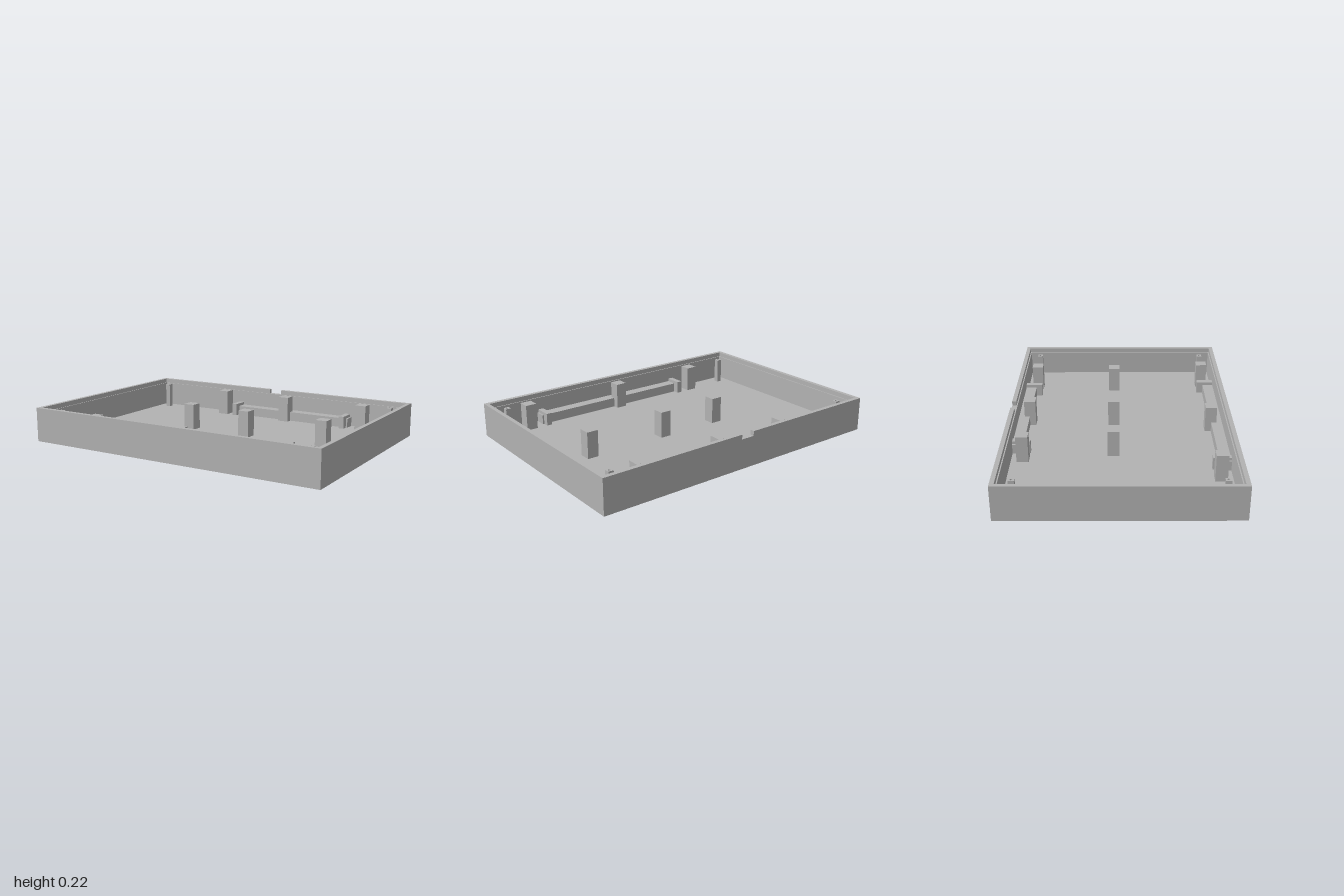
import * as THREE from 'three';

const W = 1, D = 0.703, H = 0.22;        // half width, half depth, height
const FLOOR = 0.026, LEDGE = 0.19, POST_TOP = 0.196;

export function createModel() {
  const root = new THREE.Group();
  root.name = 'openTray';
  const grey = new THREE.MeshStandardMaterial({ color: 0xb2b2b2 });
  grey.name = 'plainGrey';

  const add = (name, geometry, parent = root) => {
    const mesh = new THREE.Mesh(geometry, grey);
    mesh.name = name;
    parent.add(mesh);
    return mesh;
  };

  // box given by its lower and upper limits
  const block = (name, x0, x1, y0, y1, z0, z1, parent) => {
    const mesh = add(name, new THREE.BoxGeometry(x1 - x0, y1 - y0, z1 - z0), parent);
    mesh.position.set((x0 + x1) / 2, (y0 + y1) / 2, (z0 + z1) / 2);
    return mesh;
  };

  // plan outline (shape y = -z) raised from y0 to y1
  const raise = (shape, y0, y1) =>
    new THREE.ExtrudeGeometry(shape, { depth: y1 - y0, bevelEnabled: false, curveSegments: 4 })
      .rotateX(-Math.PI / 2).translate(0, y0, 0);
  const outline = (points) => new THREE.Shape(points.map(([x, y]) => new THREE.Vector2(x, y)));
  const rectangle = (a, b) => outline([[-a, -b], [a, -b], [a, b], [-a, b]]);

  // floor and walls
  block('floor', -W, W, 0, FLOOR, -D, D);
  const wall = rectangle(W, D);
  wall.holes.push(rectangle(0.967, 0.669));
  add('lowerWall', raise(wall, FLOOR, LEDGE));

  // thinner rim above the inner ledge, open at the notch in the back wall
  const ix = 0.974, iz = 0.676, n0 = -0.048, n1 = 0.043;
  add('upperRim', raise(outline([
    [n0, D], [-W, D], [-W, -D], [W, -D], [W, D], [n1, D],
    [n1, iz], [ix, iz], [ix, -iz], [-ix, -iz], [-ix, iz], [n0, iz],
  ]), LEDGE, H));

  // square support posts in three rows
  const rows = [
    [-0.595, [-0.372, 0.123, 0.70]],
    [-0.04, [-0.30, 0.123, 0.67]],
    [0.595, [-0.598, 0.035, 0.74]],
  ];
  const r = 0.037;
  for (const [z, xs] of rows) {
    for (const x of xs) block('supportPost', x - r, x + r, FLOOR, POST_TOP, z - r, z + r);
  }

  // slim drilled pegs near the corners
  const pegShape = rectangle(0.017, 0.017);
  pegShape.holes.push(new THREE.Path().absarc(0, 0, 0.008, 0, Math.PI * 2, true));
  const pegGeometry = raise(pegShape, FLOOR, POST_TOP);
  for (const x of [-0.89, 0.89]) {
    for (const z of [-0.595, 0.595]) add('cornerPeg', pegGeometry).position.set(x, 0, z);
  }

  // low rail against a wall, held by a taller bracket near each end
  const makeRail = (name, x0, x1, side) => {
    const group = new THREE.Group();
    group.name = name;
    root.add(group);
    const span = (reach) => (side > 0 ? [reach, 0.67] : [-0.67, -reach]);
    block('rail', x0, x1, FLOOR, 0.088, ...span(0.598), group);
    for (const x of [x0 + 0.01, x1 - 0.046]) {
      block('railBracket', x, x + 0.036, FLOOR, 0.108, ...span(0.557), group);
    }
  };
  makeRail('backRail', -0.305, 0.595, -1);
  makeRail('frontRail', -0.51, 0.642, 1);

  return root;
}
